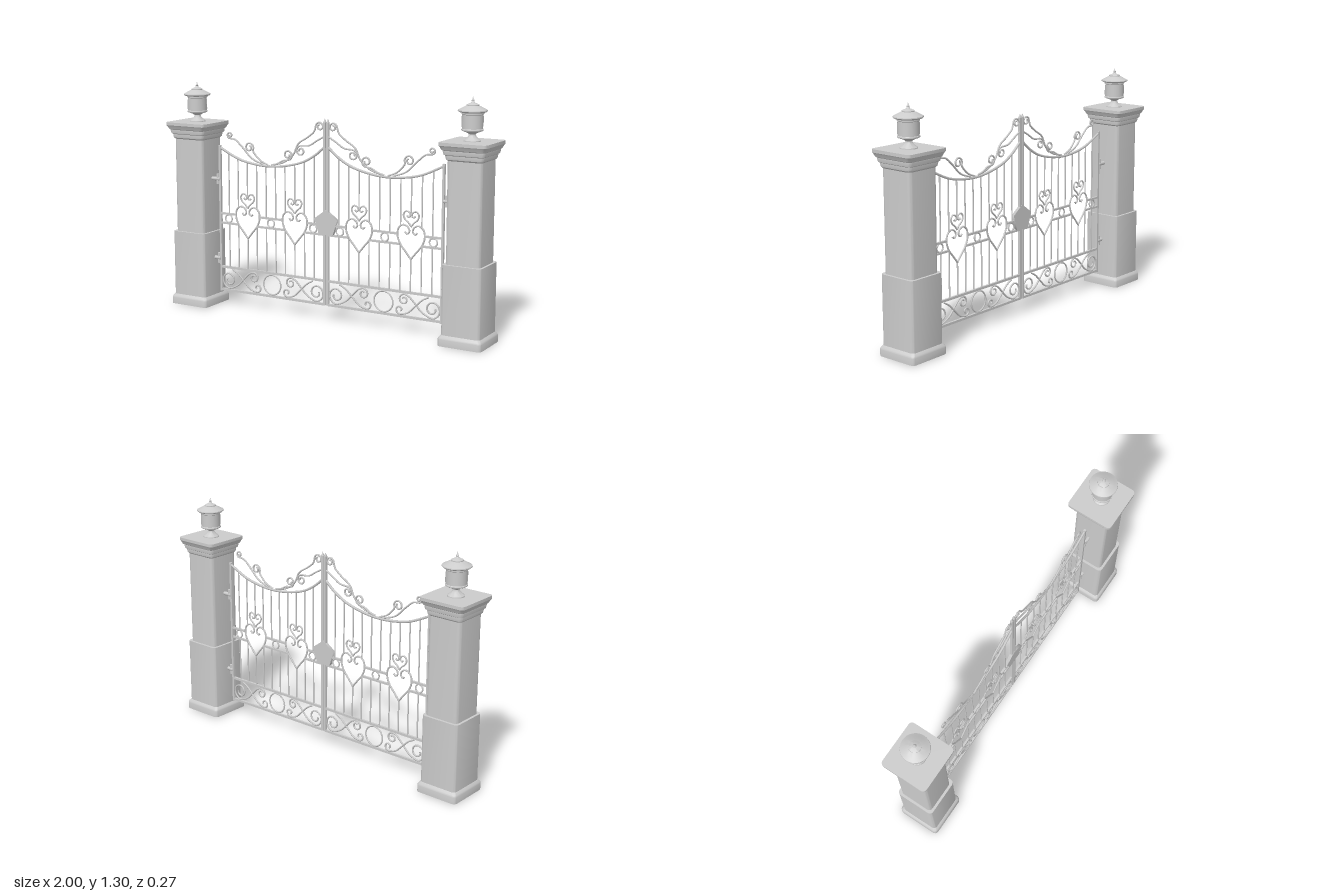
import * as THREE from 'three';
import { toCreasedNormals } from 'three/addons/utils/BufferGeometryUtils.js';

const mat = new THREE.MeshStandardMaterial({ color: 0xcccccc });
const matOpen = new THREE.MeshStandardMaterial({ color: 0xcccccc, side: THREE.DoubleSide });

function add(parent, name, geo, x = 0, y = 0, z = 0, material = mat) {
  const mesh = new THREE.Mesh(geo, material);
  mesh.name = name;
  mesh.position.set(x, y, z);
  parent.add(mesh);
  return mesh;
}

// Loft of rounded squares; profile rows are [half width, y]
function squareLoft(profile, radius) {
  const pos = [], idx = [], steps = 5, n = 4 * (steps + 1);
  for (const [h, y] of profile) {
    const r = Math.min(radius, h);
    for (let k = 0; k < 4; k++) for (let s = 0; s <= steps; s++) {
      const a = (k + s / steps) * Math.PI / 2, c = (k + 0.5) * Math.PI / 2;
      pos.push(Math.sign(Math.cos(c)) * (h - r) + r * Math.cos(a), y,
        -Math.sign(Math.sin(c)) * (h - r) - r * Math.sin(a));
    }
  }
  for (let i = 0; i < profile.length - 1; i++) for (let j = 0; j < n; j++) {
    const a = i * n + j, b = i * n + (j + 1) % n;
    if (profile[i][0] > 0) idx.push(a, b, b + n);
    if (profile[i + 1][0] > 0) idx.push(a, b + n, a + n);
    else if (profile[i][0] > 0) idx[idx.length - 1] = a + n;
  }
  const g = new THREE.BufferGeometry();
  g.setAttribute('position', new THREE.Float32BufferAttribute(pos, 3));
  g.setIndex(idx);
  return toCreasedNormals(g, 0.5);
}

function lathe(points, seg = 32) {
  return toCreasedNormals(new THREE.LatheGeometry(points.map(p => new THREE.Vector2(...p)), seg), 0.6);
}

// Points of an inward spiral, starting at angle a0
function curl(cx, cy, r, a0, turns) {
  const pts = [], n = Math.ceil(Math.abs(turns) * 12);
  for (let i = 0; i <= n; i++) {
    const a = a0 + turns * Math.PI * 2 * i / n, q = r * (1 - 0.65 * i / n);
    pts.push([cx + q * Math.cos(a), cy + q * Math.sin(a)]);
  }
  return pts;
}

function makePillar(x) {
  const g = new THREE.Group();
  g.name = 'pillar';
  g.position.x = x;
  add(g, 'pillarBody', squareLoft([
    [0, 0], [0.125, 0], [0.125, 0.038], [0.122, 0.046], [0.112, 0.058], [0.112, 0.435], [0.098, 0.435],
    [0.098, 0.978], [0.105, 0.985], [0.108, 1.0], [0.108, 1.006], [0.115, 1.01], [0.118, 1.026],
    [0.118, 1.032], [0.124, 1.036], [0.13, 1.05], [0.135, 1.058], [0.135, 1.075], [0, 1.075]], 0.022));

  // Lantern on the cap
  const lamp = new THREE.Group();
  lamp.name = 'lantern';
  g.add(lamp);
  add(lamp, 'lanternFoot', lathe([
    [0.046, 1.073], [0.045, 1.08], [0.032, 1.09], [0.02, 1.103], [0.018, 1.112], [0.024, 1.117],
    [0.03, 1.12], [0.046, 1.126], [0.05, 1.131], [0, 1.131]]));
  add(lamp, 'lanternBody', lathe([
    [0, 1.128], [0.052, 1.128], [0.057, 1.131], [0.057, 1.137], [0.054, 1.14], [0.054, 1.212],
    [0.058, 1.215], [0.058, 1.222], [0.063, 1.226], [0, 1.226]]));
  add(lamp, 'lanternRoof', lathe([
    [0, 1.225], [0.07, 1.225], [0.077, 1.231], [0.076, 1.236], [0.06, 1.244], [0.042, 1.254], [0.032, 1.258],
    [0.032, 1.263], [0.022, 1.268], [0.01, 1.273], [0.006, 1.28], [0.008, 1.284], [0.004, 1.291], [0, 1.305]]));
  for (let k = 0; k < 4; k++) {
    const a = Math.PI / 4 + k * Math.PI / 2;
    add(lamp, 'lanternWindow',
      new THREE.CylinderGeometry(0.0565, 0.0565, 0.056, 8, 1, true, a - 0.34, 0.68), 0, 1.176, 0, matOpen);
  }
  return g;
}

// Top rail of a leaf: u is the distance from the middle of the gate
const ARC = [[0.01, 0.985], [0.07, 0.935], [0.15, 0.89], [0.26, 0.86], [0.365, 0.848],
  [0.47, 0.853], [0.58, 0.875], [0.71, 0.933]];
function arcY(u) {
  const i = Math.max(1, ARC.findIndex(p => p[0] >= u)), [a, b] = [ARC[i - 1], ARC[i]];
  return a[1] + (b[1] - a[1]) * (u - a[0]) / (b[0] - a[0]);
}

function makeLeaf(s) {
  const g = new THREE.Group();
  g.name = s > 0 ? 'leftLeaf' : 'rightLeaf';
  const tube = (name, pts, r = 0.005) => {
    const path = new THREE.CatmullRomCurve3(pts.map(p => new THREE.Vector3(s * p[0], p[1], 0)));
    add(g, name, new THREE.TubeGeometry(path, Math.max(24, pts.length * 4), r, 6));
  };
  const bar = (u, y0, y1) =>
    add(g, 'verticalBar', new THREE.CylinderGeometry(0.004, 0.004, y1 - y0, 8), s * u, (y0 + y1) / 2);
  const rail = (u0, u1, y, h = 0.011) =>
    add(g, 'rail', new THREE.BoxGeometry(u1 - u0, h, 0.012), s * (u0 + u1) / 2, y);
  const ring = (u, y, r) => add(g, 'ring', new THREE.TorusGeometry(r, 0.0045, 6, 28), s * u, y);

  // Frame
  add(g, 'outerStile', new THREE.BoxGeometry(0.013, 0.86, 0.014), s * 0.71, 0.515);
  add(g, 'meetingStile', new THREE.BoxGeometry(0.014, 1.03, 0.014), s * 0.01, 0.605);
  add(g, 'stileTip', new THREE.ConeGeometry(0.009, 0.022, 8), s * 0.01, 1.13);
  tube('topRail', ARC, 0.007);
  rail(0.01, 0.71, 0.094, 0.013);
  rail(0.01, 0.71, 0.23, 0.013);

  // Middle rails stop at the hearts
  const hearts = [0.206, 0.523];
  for (const [y, gap] of [[0.548, 0.082], [0.492, 0.064]]) {
    rail(0.01, hearts[0] - gap, y);
    rail(hearts[0] + gap, hearts[1] - gap, y);
    rail(hearts[1] + gap, 0.71, y);
  }
  for (const u of [0.086, 0.365, 0.655]) ring(u, 0.52, 0.023);

  // Vertical bars
  for (let i = 0; i < 10; i++) {
    const u = 0.65 - 0.0635 * i, d = Math.min(...hearts.map(h => Math.abs(h - u)));
    const [low, high] = d < 0.03 ? [0.415, 0.665] : d < 0.09 ? [0.492, 0.59] : [0.492, 0.548];
    bar(u, 0.23, low);
    bar(u, high, arcY(u));
  }

  // Scrolled hearts, a small one above each large one
  for (const u of hearts) for (const m of [-1, 1]) {
    const place = pts => pts.map(([x, y]) => [u + m * x, y]);
    tube('largeHeart', place([[0, 0.415], [0.03, 0.452], [0.065, 0.495], [0.081, 0.54], [0.073, 0.582],
      [0.045, 0.6], [0.018, 0.588], [0.01, 0.566], [0.024, 0.55], [0.036, 0.562]]));
    tube('smallHeart', place([[0, 0.592], [0.015, 0.612], [0.038, 0.632], [0.046, 0.656],
      [0.032, 0.675], [0.01, 0.668], [0.005, 0.65], [0.018, 0.642], [0.024, 0.652]]), 0.0045);
  }

  // Bottom panel
  ring(0.36, 0.161, 0.058);
  for (const m of [-1, 1]) {
    const place = pts => pts.map(([d, y]) => [0.36 + m * d, y]);
    tube('panelScroll', place([...curl(0.295, 0.155, 0.05, -1.57, 1.3).reverse(),
      [0.235, 0.13], [0.19, 0.175], [0.155, 0.208], ...curl(0.125, 0.188, 0.03, 1.57, 1.15)]));
    tube('panelScroll', place([[0.275, 0.22], [0.235, 0.198], [0.19, 0.155], [0.145, 0.115],
      ...curl(0.1, 0.13, 0.025, -1.57, -0.9)]));
  }

  // Scrolls along the top
  tube('topScroll', [[0.41, 0.855], [0.49, 0.885], [0.56, 0.95], [0.605, 0.985],
    ...curl(0.64, 1.008, 0.019, -1.8, 1.3)]);
  tube('topScroll', [[0.38, 0.855], [0.43, 0.875], [0.465, 0.905],
    ...curl(0.508, 0.946, 0.03, -2.6, -1.3)]);
  tube('topScroll', [[0.36, 0.857], [0.28, 0.877], [0.215, 0.925], [0.18, 0.99], [0.12, 1.03], [0.078, 1.065],
    ...curl(0.042, 1.094, 0.026, 0, 1.3)]);
  tube('topScroll', [[0.35, 0.855], [0.31, 0.872], [0.28, 0.888], ...curl(0.25, 0.922, 0.03, -1.57, -1.3)]);
  tube('topScroll', [[0.015, 1.04], [0.06, 1.015], [0.11, 0.985], ...curl(0.165, 0.95, 0.029, 1.57, -1.3)]);

  // Hinges to the pillar
  for (const y of [0.28, 0.748]) {
    add(g, 'hingeBarrel', new THREE.CylinderGeometry(0.009, 0.009, 0.06, 12), s * 0.727, y);
    add(g, 'hingePin', new THREE.CylinderGeometry(0.011, 0.011, 0.06, 12).rotateZ(Math.PI / 2), s * 0.742, y);
  }
  return g;
}

export function createModel() {
  const model = new THREE.Group();
  model.name = 'gateway';
  for (const s of [-1, 1]) model.add(makePillar(s * 0.865), makeLeaf(s));
  // Five-sided lock plate over the meeting stiles
  add(model, 'lockPlate', new THREE.CylinderGeometry(0.077, 0.077, 0.018, 5).rotateX(-Math.PI / 2), 0, 0.557);
  return model;
}
